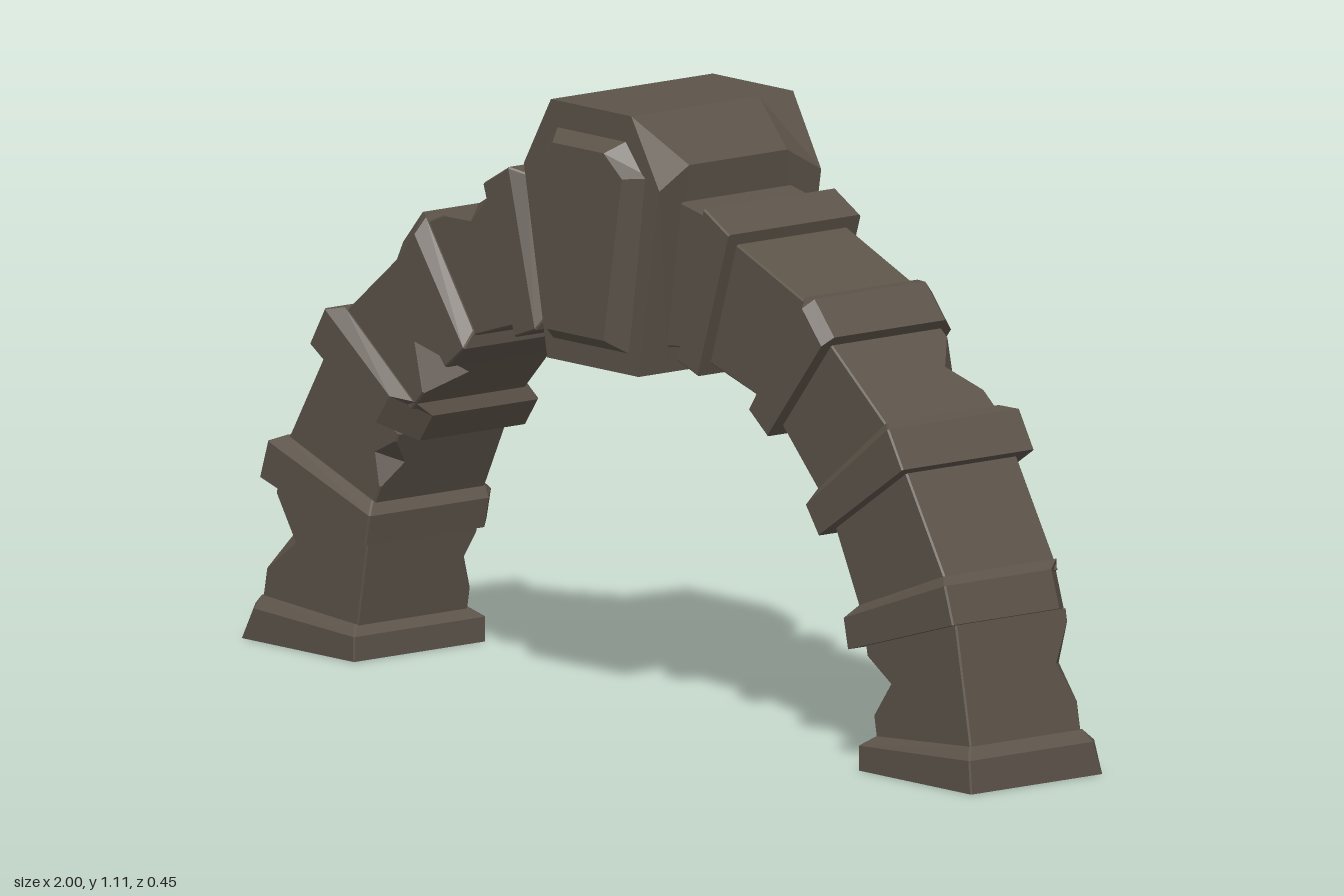
import * as THREE from 'three';

const stone = new THREE.MeshStandardMaterial({ color: 0x5c5349, flatShading: true });
stone.name = 'weatheredStone';

// Closed solid through a list of rings, counter-clockwise seen from the far end
function loft(name, rings, flip = false) {
  const pos = [];
  const tri = (a, b, c) => {
    for (const p of flip ? [a, c, b] : [a, b, c]) pos.push(p.x, p.y, p.z);
  };
  const n = rings[0].length;
  const middle = r => r.reduce((s, p) => s.add(p), new THREE.Vector3()).divideScalar(n);
  const last = rings[rings.length - 1];
  const c0 = middle(rings[0]), c1 = middle(last);
  for (let i = 0; i < n; i++) {
    const j = (i + 1) % n;
    for (let k = 0; k + 1 < rings.length; k++) {
      const a = rings[k], b = rings[k + 1];
      tri(a[i], a[j], b[j]);
      tri(a[i], b[j], b[i]);
    }
    tri(c0, rings[0][j], rings[0][i]);
    tri(c1, last[i], last[j]);
  }
  const g = new THREE.BufferGeometry();
  g.setAttribute('position', new THREE.Float32BufferAttribute(pos, 3));
  g.computeVertexNormals();
  const mesh = new THREE.Mesh(g, stone);
  mesh.name = name;
  return mesh;
}

// Cross-section of the arch: edge = [innerX, innerY, outerX, outerY], half depth d.
// chip cuts corners: 0 outer front, 1 outer back, 2 inner back, 3 inner front
function section(side, [ix, iy, ox, oy], d, chip = {}) {
  const at = (x, y, z) => new THREE.Vector3(side * x, y, z);
  const c = [at(ox, oy, d), at(ox, oy, -d), at(ix, iy, -d), at(ix, iy, d)];
  return c.flatMap((p, k) => [c[(k + 3) % 4], c[(k + 1) % 4]].map(q =>
    p.clone().addScaledVector(q.clone().sub(p).normalize(), chip[k] ?? 0.003)));
}

// Pull both ends of an edge inwards
function inset([ix, iy, ox, oy], m) {
  const l = Math.hypot(ox - ix, oy - iy), x = (ox - ix) / l * m, y = (oy - iy) / l * m;
  return [ix + x, iy + y, ox - x, oy - y];
}
const mix = (a, b, t) => a.map((v, i) => v + (b[i] - v) * t);

// Lower and upper edge of every raised band, from the foot to the crown
const bands = [
  [[0.69, 0, 1, 0], [0.69, 0.045, 0.995, 0.06]],
  [[0.66, 0.215, 0.95, 0.30], [0.648, 0.27, 0.928, 0.368]],
  [[0.58, 0.41, 0.812, 0.562], [0.545, 0.46, 0.772, 0.63]],
  [[0.44, 0.57, 0.602, 0.77], [0.39, 0.61, 0.548, 0.832]],
  [[0.25, 0.652, 0.336, 0.92], [0.195, 0.672, 0.268, 0.958]],
];
const crown = [0.08, 0.68, 0.1, 0.97];

// Broken corners per band and per block, for each side
const wear = {
  left: {
    band: [{ 1: 0.02 }, { 1: 0.06 }, { 2: 0.04 }, { 0: 0.02, 1: 0.03 }, { 2: 0.04 }],
    block: [{ 3: 0.06, 1: 0.04 }, { 2: 0.03 }, { 1: 0.05 }, { 2: 0.05 }, {}],
  },
  right: {
    band: [{ 0: 0.03 }, { 2: 0.03 }, { 3: 0.06, 1: 0.02 }, { 0: 0.04 }, { 1: 0.04, 2: 0.03 }],
    block: [{ 0: 0.07, 2: 0.03 }, { 3: 0.04 }, { 3: 0.08, 1: 0.04 }, { 0: 0.03, 2: 0.05 }, {}],
  },
};

function halfArch(name, side) {
  const group = new THREE.Group();
  group.name = name + 'HalfArch';
  const flip = side < 0;
  bands.forEach(([low, high], i) => {
    const bandChip = wear[name].band[i], blockChip = wear[name].block[i];
    // Raised band with a sloped shoulder towards the crown
    const lift = mix(low, high, i ? 1.28 : 1.35);
    group.add(loft('band', [
      section(side, low, 0.155, i ? bandChip : {}),
      section(side, high, 0.155, bandChip),
      section(side, inset(lift, 0.022), 0.133),
    ], flip));
    // Straight block up to the next band or the keystone
    const a = inset(high, 0.022);
    const b = i < 4 ? inset(bands[i + 1][0], 0.022) : crown;
    group.add(loft('archBlock', [
      section(side, a, 0.13),
      section(side, mix(a, b, 0.3), 0.13),
      section(side, mix(a, b, 0.6), 0.13, blockChip),
      section(side, mix(a, b, 0.9), 0.13),
      section(side, b, 0.13),
    ], flip));
  });
  return group;
}

const outline = (pts, z) => pts.map(([x, y]) => new THREE.Vector3(x, y, z));

// Raised panel with bevelled rim; bite breaks one long edge
function panel(name, bite) {
  const rim = [[-0.11, 0.67], [0.11, 0.67], [0.155, 1.0], [0.1, 1.065], [-0.1, 1.065],
    [-0.145, 0.99], [-0.137, 0.92], [-0.128, 0.84], [-0.12, 0.76]];
  const face = [[-0.08, 0.70], [0.075, 0.70], [0.125, 1.0], [0.075, 1.04], [-0.065, 1.04],
    [-0.115, 0.98], [-0.108, 0.92], [-0.098 + bite, 0.84], [-0.087, 0.76]];
  return loft(name, [outline(rim, 0.18), outline(face, 0.225)]);
}

export function createModel() {
  const model = new THREE.Group();
  model.name = 'stoneArch';
  model.add(halfArch('left', 1), halfArch('right', -1));

  // Keystone with slightly worn shoulders at both faces
  const keystone = (z, drop) => outline([[-0.12, 0.638], [0.13, 0.638],
    [0.187, 1.022 - drop], [0.11, 1.108], [-0.11, 1.108], [-0.184, 1.022 - drop]], z);
  model.add(loft('keystone', [
    keystone(-0.19, 0.045), keystone(-0.11, 0), keystone(0.12, 0), keystone(0.19, 0.04),
  ]));

  const back = panel('backPanel', 0.07);
  back.rotation.y = Math.PI;
  model.add(panel('frontPanel', 0), back);
  return model;
}
